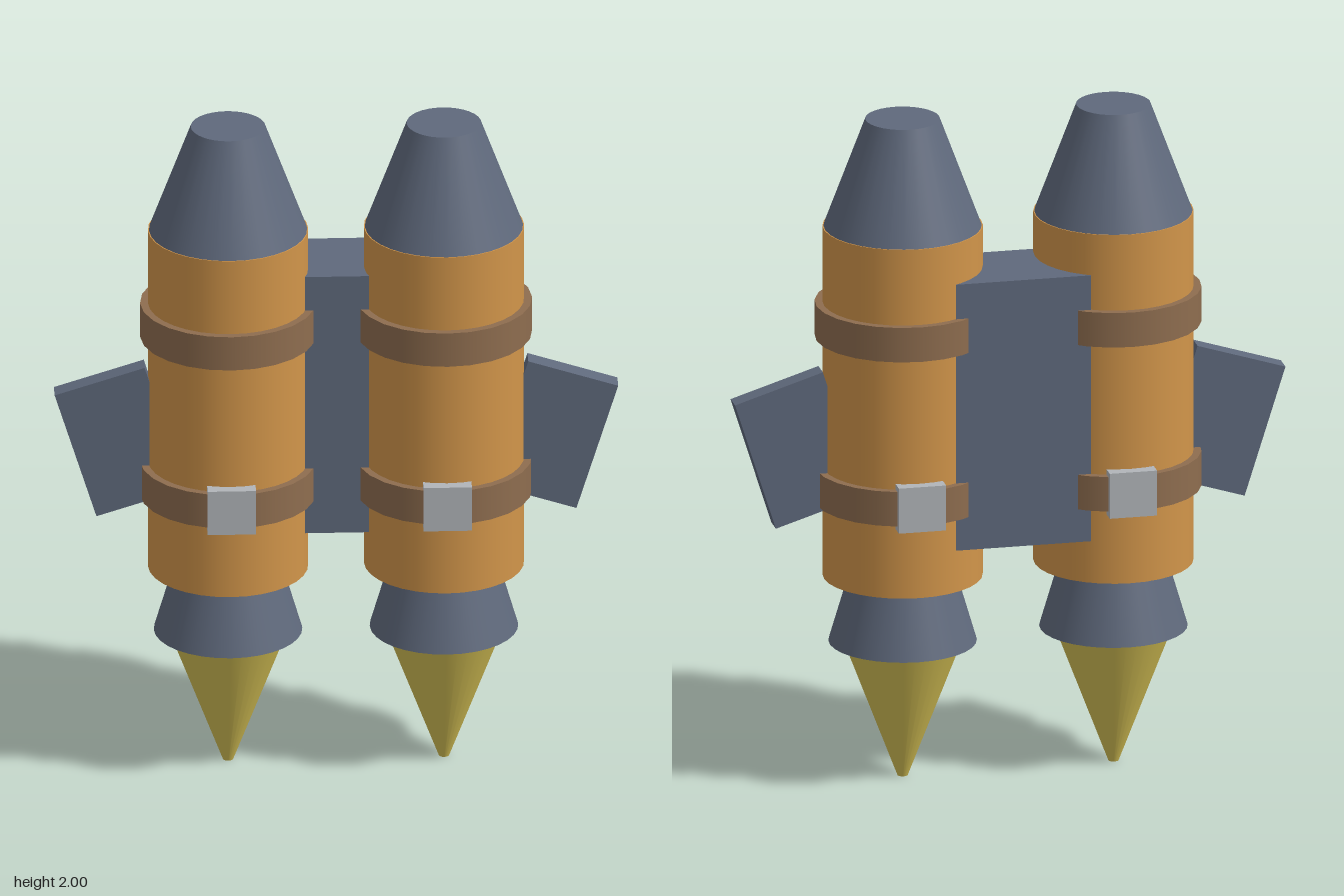
import * as THREE from 'three';

const mat = (name, color) => {
  const m = new THREE.MeshStandardMaterial({ color });
  m.name = name;
  return m;
};

export function createModel() {
  const slate = mat('slate metal', 0x5f697c);
  const orange = mat('orange tank', 0xd1954a);
  const brown = mat('brown strap', 0x8e6d4f);
  const silver = mat('silver buckle', 0xb1b5b9);
  const yellow = mat('yellow flame', 0xd3bf54);

  const model = new THREE.Group();
  model.name = 'jetpack';

  const add = (parent, name, geometry, material, x = 0, y = 0, z = 0) => {
    const mesh = new THREE.Mesh(geometry, material);
    mesh.name = name;
    mesh.position.set(x, y, z);
    parent.add(mesh);
    return mesh;
  };

  // Round section between two heights
  const section = (parent, name, rTop, rBottom, y0, y1, material, sides = 32) =>
    add(parent, name, new THREE.CylinderGeometry(rTop, rBottom, y1 - y0, sides), material, 0, (y0 + y1) / 2, 0);

  // Plate joining the two boosters
  add(model, 'backPlate', new THREE.BoxGeometry(0.4, 0.81, 0.275), slate, 0, 1.145, -0.066);

  for (const side of [-1, 1]) {
    const booster = new THREE.Group();
    booster.name = side > 0 ? 'leftBooster' : 'rightBooster';
    booster.position.x = side * 0.3125;
    model.add(booster);

    // Stacked body
    section(booster, 'flame', 0.172, 0.015, 0, 0.412, yellow);
    section(booster, 'nozzle', 0.156, 0.215, 0.412, 0.613, slate);
    section(booster, 'tank', 0.232, 0.232, 0.613, 1.675, orange);
    section(booster, 'noseCone', 0.108, 0.229, 1.675, 2, slate);

    // Straps around the tank
    section(booster, 'lowerStrap', 0.255, 0.255, 0.84, 0.945, brown, 24);
    section(booster, 'upperStrap', 0.255, 0.255, 1.34, 1.445, brown, 24);

    // Buckles on the lower strap, front and back
    for (const z of [-1, 1]) {
      add(booster, z > 0 ? 'frontBuckle' : 'backBuckle',
        new THREE.BoxGeometry(0.14, 0.137, 0.06), silver, 0, 0.893, z * 0.234);
    }

    // Tilted side fin
    const fin = add(booster, 'fin', new THREE.BoxGeometry(0.273, 0.403, 0.06), slate, side * 0.3125, 1.02, 0);
    fin.rotation.z = -side * 0.305;
  }

  return model;
}
